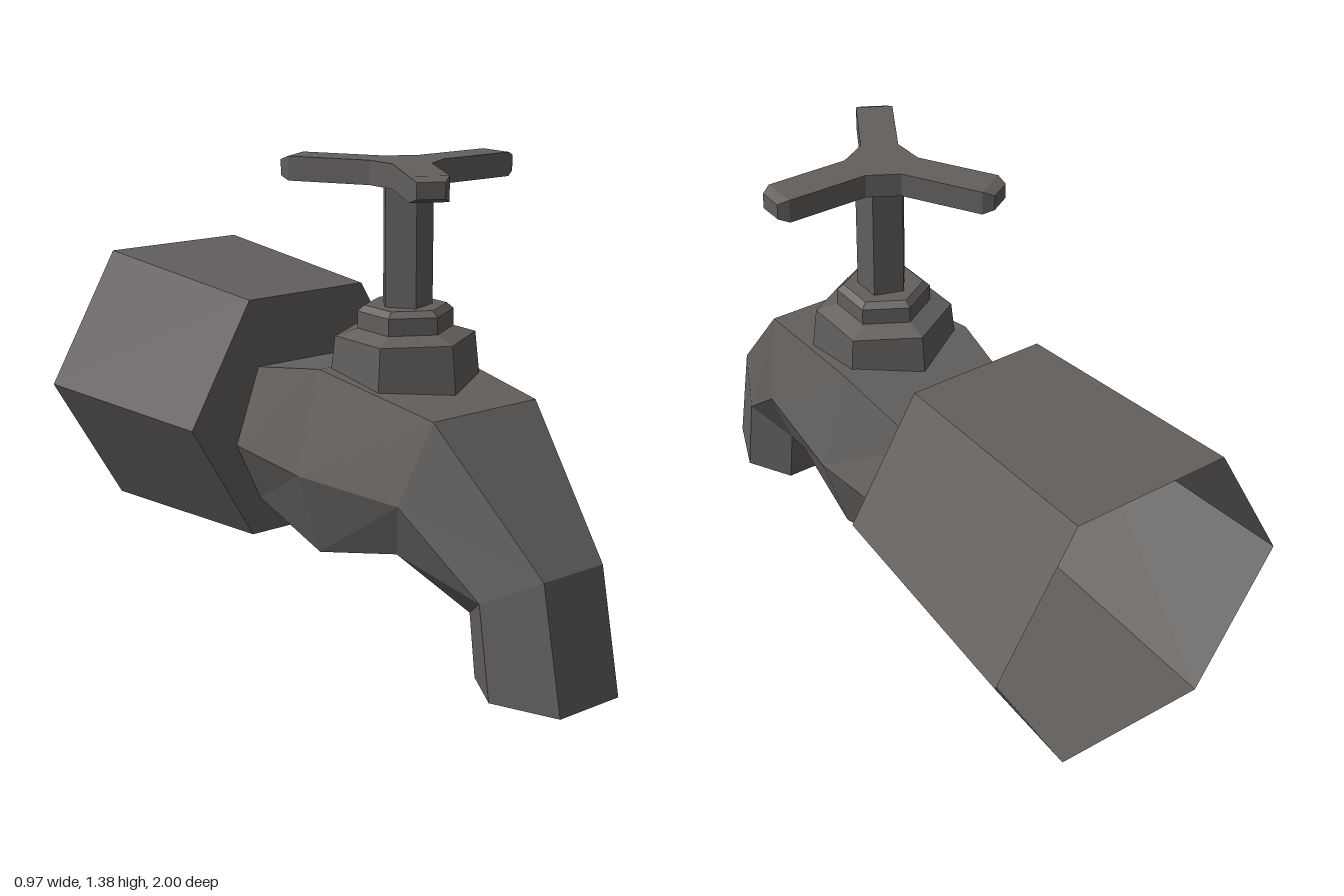
import * as THREE from 'three';

const metal = new THREE.MeshStandardMaterial({ color: 0x625f5d, flatShading: true, side: THREE.DoubleSide });
metal.name = 'dark grey metal';

function part(name, geometry) {
  const mesh = new THREE.Mesh(geometry, metal);
  mesh.name = name;
  return mesh;
}

// Six-sided cross-section from its top, middle and bottom [z, y] and half widths
function section([zt, yt], [zm, ym], [zb, yb], w, W) {
  return [[w, yt, zt], [W, ym, zm], [w, yb, zb], [-w, yb, zb], [-W, ym, zm], [-w, yt, zt]];
}

// Same section shrunk about its own centre
function shrink(ring, s) {
  const c = [0, 1, 2].map(k => ring.reduce((sum, p) => sum + p[k], 0) / ring.length);
  return ring.map(p => p.map((v, k) => c[k] + (v - c[k]) * s));
}

// Skin joining successive sections
function loft(rings) {
  const pos = [];
  for (let i = 0; i < rings.length - 1; i++) {
    const n = rings[i].length;
    for (let j = 0; j < n; j++) {
      const k = (j + 1) % n;
      const a = rings[i][j], b = rings[i][k], c = rings[i + 1][k], d = rings[i + 1][j];
      pos.push(...a, ...d, ...c, ...a, ...c, ...b);
    }
  }
  const g = new THREE.BufferGeometry();
  g.setAttribute('position', new THREE.Float32BufferAttribute(pos, 3));
  g.computeVertexNormals();
  return g;
}

export function createModel() {
  const model = new THREE.Group();
  model.name = 'tap';

  // Body sections from the wall end to the spout mouth
  const body = [
    section([-0.25, 0.72], [-0.25, 0.485], [-0.25, 0.30], 0.185, 0.27),
    section([0.11, 0.79], [0.11, 0.485], [0.11, 0.235], 0.225, 0.305),
    section([0.57, 0.73], [0.50, 0.485], [0.42, 0.31], 0.19, 0.255),
    section([0.925, 0.36], [0.765, 0.27], [0.64, 0.185], 0.11, 0.19),
    section([1.0, 0], [0.81, 0], [0.665, 0], 0.11, 0.19),
  ];
  // Spout lip and recess
  const lip = shrink(body[4], 0.65);
  const recess = shrink(body[3], 0.62);
  model.add(part('bodyAndSpout', loft([...body, lip, recess, shrink(recess, 0)])));

  // Hollow flared collar, with its front wall meeting the body
  const hex = (z, r) => {
    const h = r * 0.866;
    return section([z, 0.558 + h], [z, 0.558], [z, 0.558 - h], r / 2, r);
  };
  model.add(part('collar', loft([hex(-1, 0.485), hex(-0.25, 0.43), body[0]])));

  // Valve: bonnet and nut, stem, three-armed handle
  const valve = new THREE.Group();
  valve.name = 'valve';
  valve.position.z = 0.225;
  model.add(valve);

  const profile = [[0.223, 0.72], [0.205, 0.885], [0.14, 0.905], [0.14, 0.955], [0.12, 0.972], [0, 0.972]]
    .map(p => new THREE.Vector2(...p));
  valve.add(part('bonnetAndNut', new THREE.LatheGeometry(profile, 6)));

  const stem = part('stem', new THREE.CylinderGeometry(0.077, 0.077, 0.37, 5).rotateY(-Math.PI / 2));
  stem.position.y = 1.145;
  valve.add(stem);

  const half = 0.055, thick = 0.07, angles = [0, 1, 2].map(i => i * Math.PI * 2 / 3);
  const outline = angles.flatMap(a =>
    [[0.09, -half], [0.34, -half], [0.34, half], [0.09, half]].map(([x, y]) =>
      new THREE.Vector2(x, y).rotateAround(new THREE.Vector2(), a)));
  const arms = new THREE.ExtrudeGeometry(new THREE.Shape(outline), { depth: thick, bevelEnabled: false });
  const handle = part('handle', arms.rotateX(-Math.PI / 2));
  handle.position.y = 1.315;
  valve.add(handle);

  // Chamfered tip on each arm
  const tip = new THREE.BoxGeometry(0.03, thick, half * 2);
  const p = tip.attributes.position;
  for (let i = 0; i < p.count; i++) {
    if (p.getX(i) > 0) p.setXYZ(i, p.getX(i), p.getY(i) * 0.65, p.getZ(i) * 0.7);
  }
  tip.translate(0.355, thick / 2, 0);
  for (const a of angles) {
    const mesh = part('handleTip', tip);
    mesh.rotation.y = a;
    handle.add(mesh);
  }
  return model;
}
